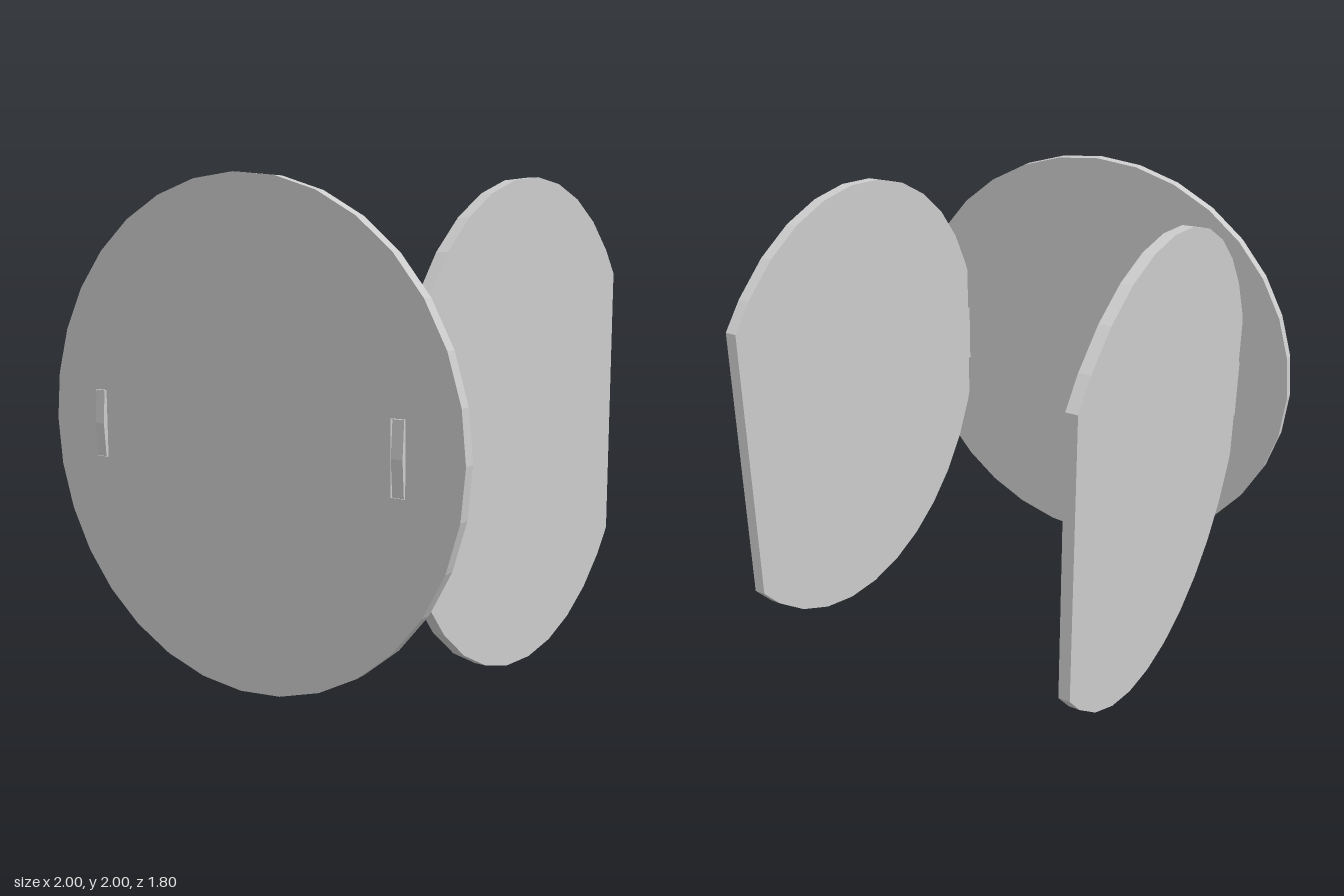
import * as THREE from 'three';

const T = 0.048;         // board thickness
const STEP = Math.PI / 16; // 32-sided discs
const PLATE_Z = 0.84;    // back of the front disc
const PANEL_Z = -0.1;    // centre of the side discs
const PANEL_X = 0.733;   // middle of each side panel
const TAB = 0.138, SLOT = 0.14;

const material = new THREE.MeshStandardMaterial({ color: 0xcccccc, flatShading: true });

// Points on the unit circle from angle a to b, with the 32-gon corners between
function arc(a, b) {
  const pts = [new THREE.Vector2(Math.cos(a), Math.sin(a))];
  for (let k = Math.floor(a / STEP + 1e-6) + 1; k * STEP < b - 1e-6; k++)
    pts.push(new THREE.Vector2(Math.cos(k * STEP), Math.sin(k * STEP)));
  pts.push(new THREE.Vector2(Math.cos(b), Math.sin(b)));
  return pts;
}

function extrude(shape) {
  return new THREE.ExtrudeGeometry(shape, { depth: T, bevelEnabled: false });
}

export function createModel() {
  const group = new THREE.Group();

  // Front disc with two slots
  const disc = new THREE.Shape(arc(0, 2 * Math.PI).slice(0, -1));
  for (const s of [-1, 1]) {
    const [a, b] = [0.70 * s, 0.761 * s];
    disc.holes.push(new THREE.Path([
      new THREE.Vector2(a, -SLOT), new THREE.Vector2(a, SLOT),
      new THREE.Vector2(b, SLOT), new THREE.Vector2(b, -SLOT),
    ]));
  }
  const front = new THREE.Mesh(extrude(disc), material);
  front.name = 'frontDisc';
  front.position.set(0, 1, PLATE_Z);
  group.add(front);

  // Side panel: disc cut flat at the back, notched at the front around a tab
  const shoulder = PLATE_Z - PANEL_Z;
  const shoulderAngle = Math.acos(shoulder);
  const backAngle = Math.acos(-0.8);
  const tabAngle = Math.asin(TAB);
  const outline = [
    ...arc(-tabAngle, tabAngle),
    new THREE.Vector2(shoulder, TAB),
    ...arc(shoulderAngle, backAngle),
    ...arc(2 * Math.PI - backAngle, 2 * Math.PI - shoulderAngle),
    new THREE.Vector2(shoulder, -TAB),
  ];
  const panel = extrude(new THREE.Shape(outline));
  panel.translate(0, 0, -T / 2).rotateY(-Math.PI / 2);
  for (const s of [-1, 1]) {
    const side = new THREE.Mesh(panel, material);
    side.name = s > 0 ? 'leftPanel' : 'rightPanel';
    side.position.set(s * PANEL_X, 1, PANEL_Z);
    group.add(side);
  }
  return group;
}
